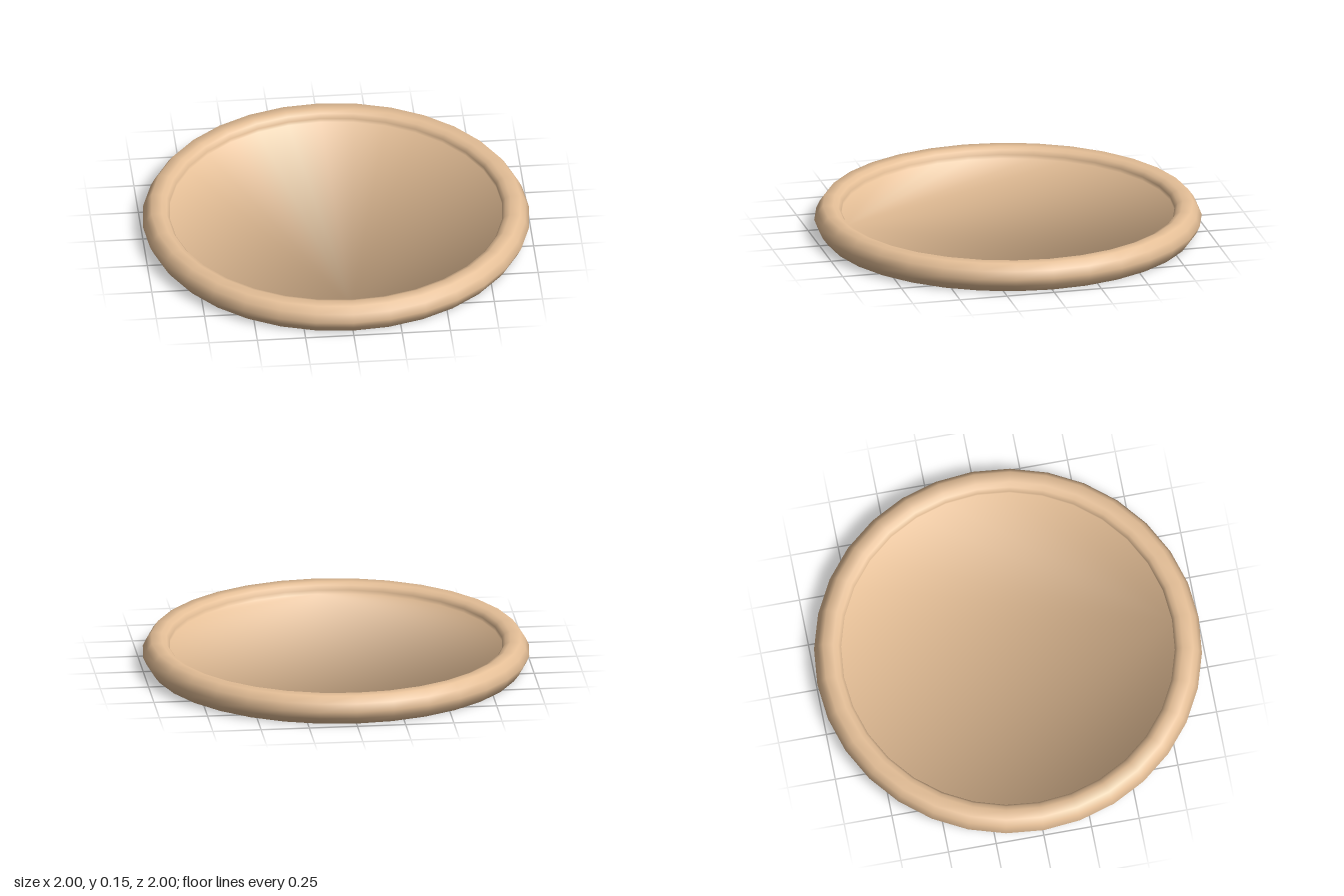
import * as THREE from 'three';

const SIDES = 32;

// Smooth solid of revolution; both ends are closed by a flat polygon that shares the ring normals.
function revolve(profile) {
  const pos = [], nor = [], idx = [];
  const last = profile.length - 1;
  // unit outward normal of the segment that starts at point i (caps included)
  const segNormal = (i) => {
    if (i < 0) return new THREE.Vector2(0, -1);
    if (i >= last) return new THREE.Vector2(0, 1);
    const d = profile[i + 1].clone().sub(profile[i]);
    return new THREE.Vector2(d.y, -d.x).normalize();
  };
  profile.forEach((p, i) => {
    const n = segNormal(i - 1).add(segNormal(i)).normalize();
    for (let j = 0; j < SIDES; j++) {
      const a = (j / SIDES) * Math.PI * 2, s = Math.sin(a), c = Math.cos(a);
      pos.push(p.x * s, p.y, p.x * c);
      nor.push(n.x * s, n.y, n.x * c);
    }
  });
  const at = (i, j) => i * SIDES + (j % SIDES);
  for (let j = 0; j < SIDES; j++) {
    for (let i = 0; i < last; i++) {
      idx.push(at(i, j), at(i, j + 1), at(i + 1, j + 1));
      idx.push(at(i, j), at(i + 1, j + 1), at(i + 1, j));
    }
    // underside and floor polygons
    if (j > 0 && j < SIDES - 1) {
      idx.push(at(0, 0), at(0, j + 1), at(0, j));
      idx.push(at(last, 0), at(last, j), at(last, j + 1));
    }
  }
  const g = new THREE.BufferGeometry();
  g.setAttribute('position', new THREE.Float32BufferAttribute(pos, 3));
  g.setAttribute('normal', new THREE.Float32BufferAttribute(nor, 3));
  g.setIndex(idx);
  return g;
}

export function createModel() {
  const model = new THREE.Group();
  model.name = 'plate';

  const profile = [
    [0.955, 0], [0.981, 0.035], [1, 0.075], [0.981, 0.115], [0.955, 0.15], // outer rim
    [0.902, 0.15], [0.876, 0.139], [0.86, 0.118], // inner lip
    [0.861, 0.096], // floor edge
  ].map(([r, y]) => new THREE.Vector2(r, y));

  const material = new THREE.MeshStandardMaterial({ color: 0xe5bf97 });
  const dish = new THREE.Mesh(revolve(profile), material);
  dish.name = 'rimmedDish';
  model.add(dish);
  return model;
}
